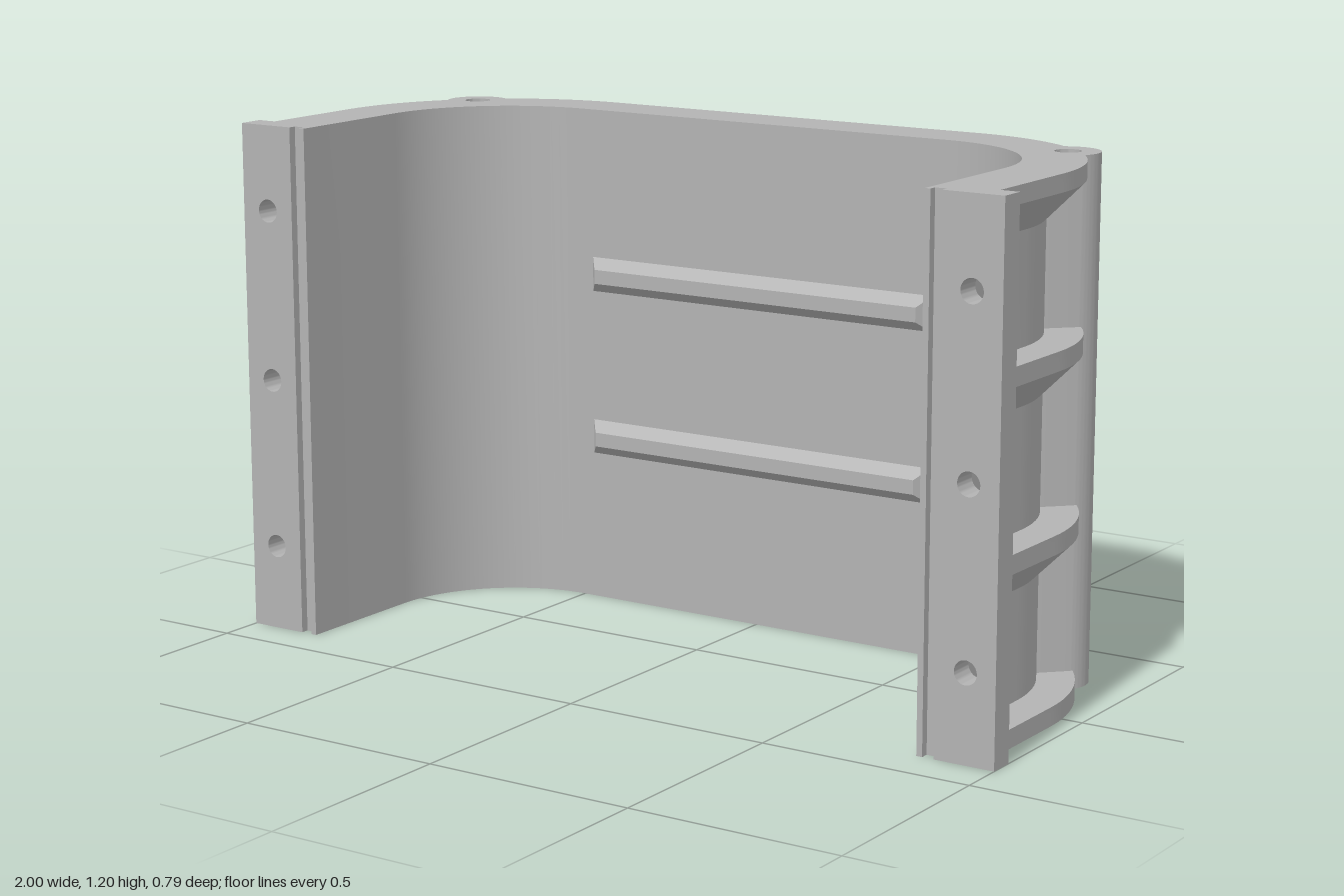
import * as THREE from 'three';
import { toCreasedNormals } from 'three/addons/utils/BufferGeometryUtils.js';

const H = 1.2;          // full height
const R = 0.455;        // outer corner radius
const CX = 0.5, CZ = 0.06; // corner centre
const FLANGE_Z = 0.333, FRONT_Z = 0.395;

// Path stations: corner centre plus heading angle of the outward normal
function arc(cx, a0, a1, n) {
  return Array.from({ length: n + 1 }, (_, i) => ({ cx, cz: CZ, a: a0 + ((a1 - a0) * i) / n }));
}

// Sweep a convex section of [inward offset, y] points along the stations
function sweep(path, section) {
  const at = (p, [d, y]) => [p.cx + (R - d) * Math.cos(p.a), y, p.cz - (R - d) * Math.sin(p.a)];
  const pos = [];
  const tri = (...pts) => pts.forEach((p) => pos.push(...p));
  const n = section.length;
  for (let k = 0; k < path.length - 1; k++) {
    for (let i = 0; i < n; i++) {
      const s = section[i], t = section[(i + 1) % n];
      const a = at(path[k], s), b = at(path[k], t), c = at(path[k + 1], t), d = at(path[k + 1], s);
      tri(a, b, c);
      tri(a, c, d);
    }
  }
  const first = path[0], last = path[path.length - 1];
  for (let i = 1; i < n - 1; i++) {
    tri(at(first, section[0]), at(first, section[i + 1]), at(first, section[i]));
    tri(at(last, section[0]), at(last, section[i]), at(last, section[i + 1]));
  }
  const geo = new THREE.BufferGeometry();
  geo.setAttribute('position', new THREE.Float32BufferAttribute(pos, 3));
  return toCreasedNormals(geo, 0.4);
}

function circleHole(x, y, r) {
  const hole = new THREE.Path();
  hole.absarc(x, y, r, 0, Math.PI * 2, true);
  return hole;
}

function extrude(shape, depth) {
  const geo = new THREE.ExtrudeGeometry(shape, { depth, bevelEnabled: false, curveSegments: 24 });
  return toCreasedNormals(geo, 0.4);
}

export function createModel() {
  const group = new THREE.Group();
  const grey = new THREE.MeshStandardMaterial({ color: 0xb3b3b3 });
  grey.name = 'grey';
  const add = (name, geo, x = 0, y = 0, z = 0) => {
    const mesh = new THREE.Mesh(geo, grey);
    mesh.name = name;
    mesh.position.set(x, y, z);
    group.add(mesh);
    return mesh;
  };

  // Curved U-shaped wall
  const PI = Math.PI;
  const leftEnd = { cx: CX, cz: FLANGE_Z + 0.01, a: 0 };
  const rightEnd = { cx: -CX, cz: FLANGE_Z + 0.01, a: PI };
  const wallPath = [leftEnd, ...arc(CX, 0, PI / 2, 24), ...arc(-CX, PI / 2, PI, 24), rightEnd];
  add('wall', sweep(wallPath, [[0.085, 0], [0.14, 0], [0.14, H], [0.085, H]]));

  // Outer ribs, broken at the corner posts; all but the lowest have a sloped underside
  const gap = 0.1;
  const runs = {
    ribLeft: [leftEnd, ...arc(CX, 0, PI / 4 - gap, 11)],
    ribBack: [...arc(CX, PI / 4 + gap, PI / 2, 11), ...arc(-CX, PI / 2, PI * 0.75 - gap, 11)],
    ribRight: [...arc(-CX, PI * 0.75 + gap, PI, 11), rightEnd],
  };
  for (const [bottom, top] of [[0, 0.043], [0.38, 0.423], [0.78, 0.823], [1.16, H]]) {
    const drop = bottom > 0 ? 0.085 : 0;
    const section = [[0, bottom], [0.085, bottom - drop], [0.1, bottom - drop], [0.1, top], [0, top]];
    for (const [name, path] of Object.entries(runs)) add(name, sweep(path, section));
  }

  // Corner posts: round outside, straight neck into the wall, bored through
  const r = 0.073;
  const postShape = new THREE.Shape();
  postShape.moveTo(-0.09, -r);
  postShape.lineTo(0, -r);
  postShape.absarc(0, 0, r, -PI / 2, PI / 2, false);
  postShape.lineTo(-0.09, r);
  postShape.closePath();
  postShape.holes.push(circleHole(0, 0, 0.03));
  const postGeo = extrude(postShape, H).rotateX(-PI / 2);

  // Front flange plate with three bolt holes
  const inX = 0.857, half = (1 - inX) / 2;
  const plate = new THREE.Shape();
  plate.moveTo(-half, 0);
  plate.lineTo(half, 0);
  plate.lineTo(half, H);
  plate.lineTo(-half, H);
  plate.closePath();
  for (const y of [0.2, 0.6, 1]) plate.holes.push(circleHole(0, y, 0.027));

  for (const s of [1, -1]) {
    const side = s > 0 ? 'Left' : 'Right';
    add('post' + side, postGeo, s * 0.806, 0, -0.248).rotation.y = s > 0 ? PI / 4 : PI * 0.75;

    // Bolt holes sit nearer the middle of the plate on both sides, so shift by mirroring
    const flangeGeo = extrude(plate, FRONT_Z - FLANGE_Z);
    add('flange' + side, flangeGeo, s * (inX + half), 0, FLANGE_Z);

    // Groove floor and inner lip
    const floorZ = 0.376;
    add('grooveFloor' + side, new THREE.BoxGeometry(inX - 0.815, H, floorZ - FLANGE_Z),
      s * (inX + 0.815) / 2, H / 2, (floorZ + FLANGE_Z) / 2);
    add('lip' + side, new THREE.BoxGeometry(0.014, H, FRONT_Z - FLANGE_Z),
      s * 0.822, H / 2, (FRONT_Z + FLANGE_Z) / 2);
  }

  // Inner ledges: bars tapering on all four sides toward the front
  const depth = 0.036, taper = 0.03;
  for (const y of [0.402, 0.802]) {
    let geo = new THREE.BoxGeometry(0.946, 0.09, depth);
    const p = geo.attributes.position;
    for (let i = 0; i < p.count; i++) {
      if (p.getZ(i) > 0) {
        p.setX(i, p.getX(i) - Math.sign(p.getX(i)) * taper);
        p.setY(i, p.getY(i) - Math.sign(p.getY(i)) * (taper - 0.002));
      }
    }
    geo = geo.toNonIndexed();
    geo.computeVertexNormals();
    add('innerLedge', geo, 0, y, -0.26 + depth / 2 + 0.0005);
  }

  return group;
}
